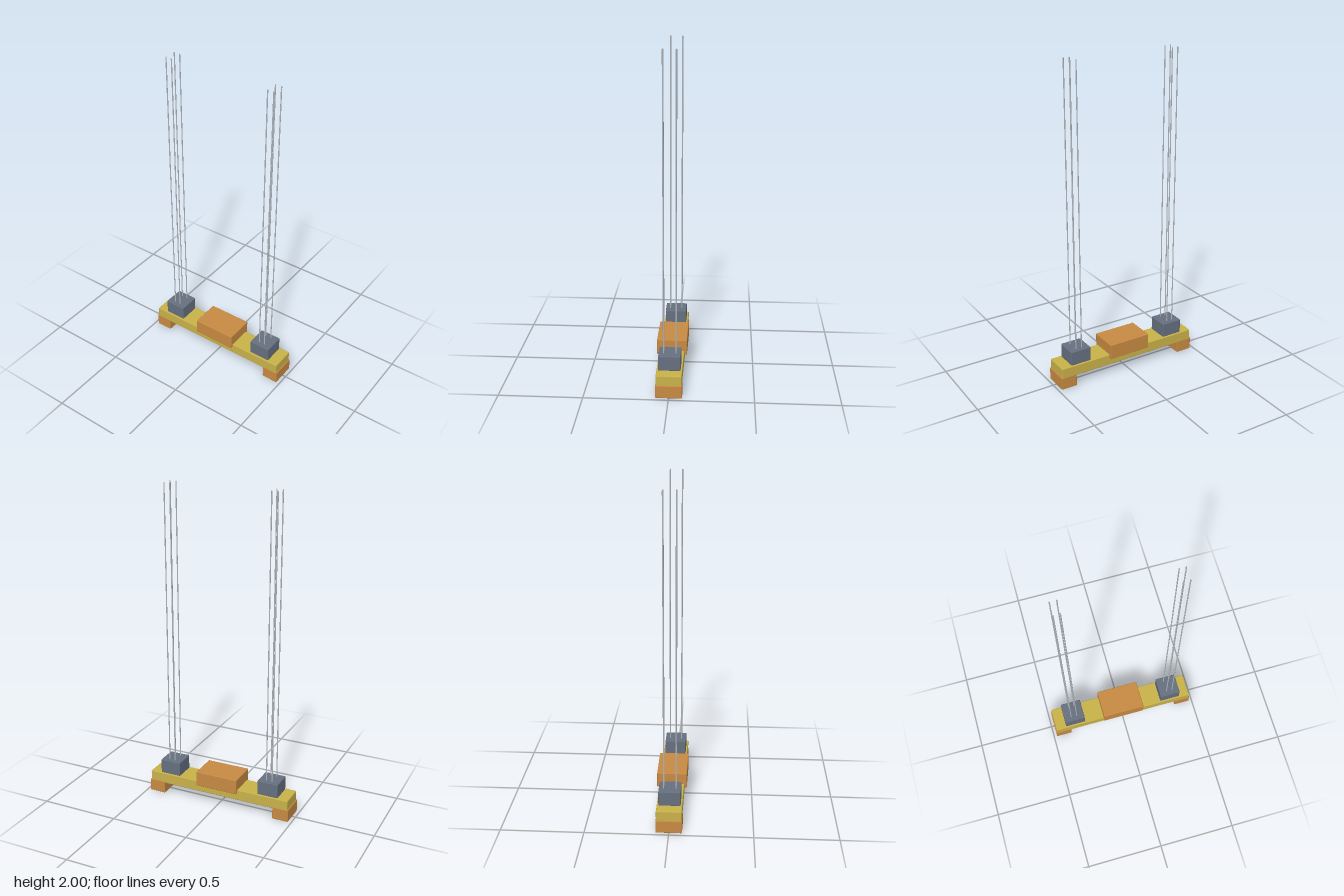
import * as THREE from 'three';
import { RoundedBoxGeometry } from 'three/addons/geometries/RoundedBoxGeometry.js';

const material = (name, color) => {
  const m = new THREE.MeshStandardMaterial({ color });
  m.name = name;
  return m;
};

export function createModel() {
  const model = new THREE.Group();
  model.name = 'rodStand';

  const yellow = material('yellow wood', 0xc9b24a);
  const orange = material('orange wood', 0xc88a42);
  const slate = material('slate', 0x667080);
  const steel = material('steel', 0xb4b8bc);

  // Softly bevelled block, placed by its centre x and its bottom and top heights
  const block = (parent, name, mat, x, width, bottom, top, depth) => {
    const geometry = new RoundedBoxGeometry(width, top - bottom, depth, 1, 0.005);
    const mesh = new THREE.Mesh(geometry, mat);
    mesh.name = name;
    mesh.position.set(x, (bottom + top) / 2, 0);
    parent.add(mesh);
  };

  // Long beam with the block straddling its middle
  block(model, 'beam', yellow, 0, 0.946, 0.07, 0.14, 0.153);
  block(model, 'centreBlock', orange, 0, 0.278, 0.115, 0.212, 0.184);

  // Each end: a foot below, a socket above and four tall rods
  const rodBottom = 0.2;
  const rodGeometry = new THREE.CylinderGeometry(0.0035, 0.0035, 2 - rodBottom, 10);
  for (const [side, label] of [[-1, 'right'], [1, 'left']]) {
    const end = new THREE.Group();
    end.name = label + 'End';
    block(end, label + 'Foot', orange, side * 0.427, 0.105, 0, 0.08, 0.157);
    block(end, label + 'Socket', slate, side * 0.336, 0.135, 0.138, 0.23, 0.133);
    for (const dx of [-0.019, 0.019]) {
      for (const z of [-0.037, 0.037]) {
        const rod = new THREE.Mesh(rodGeometry, steel);
        rod.name = label + 'Rod';
        rod.position.set(side * 0.336 + dx, (2 + rodBottom) / 2, z);
        end.add(rod);
      }
    }
    model.add(end);
  }

  return model;
}
